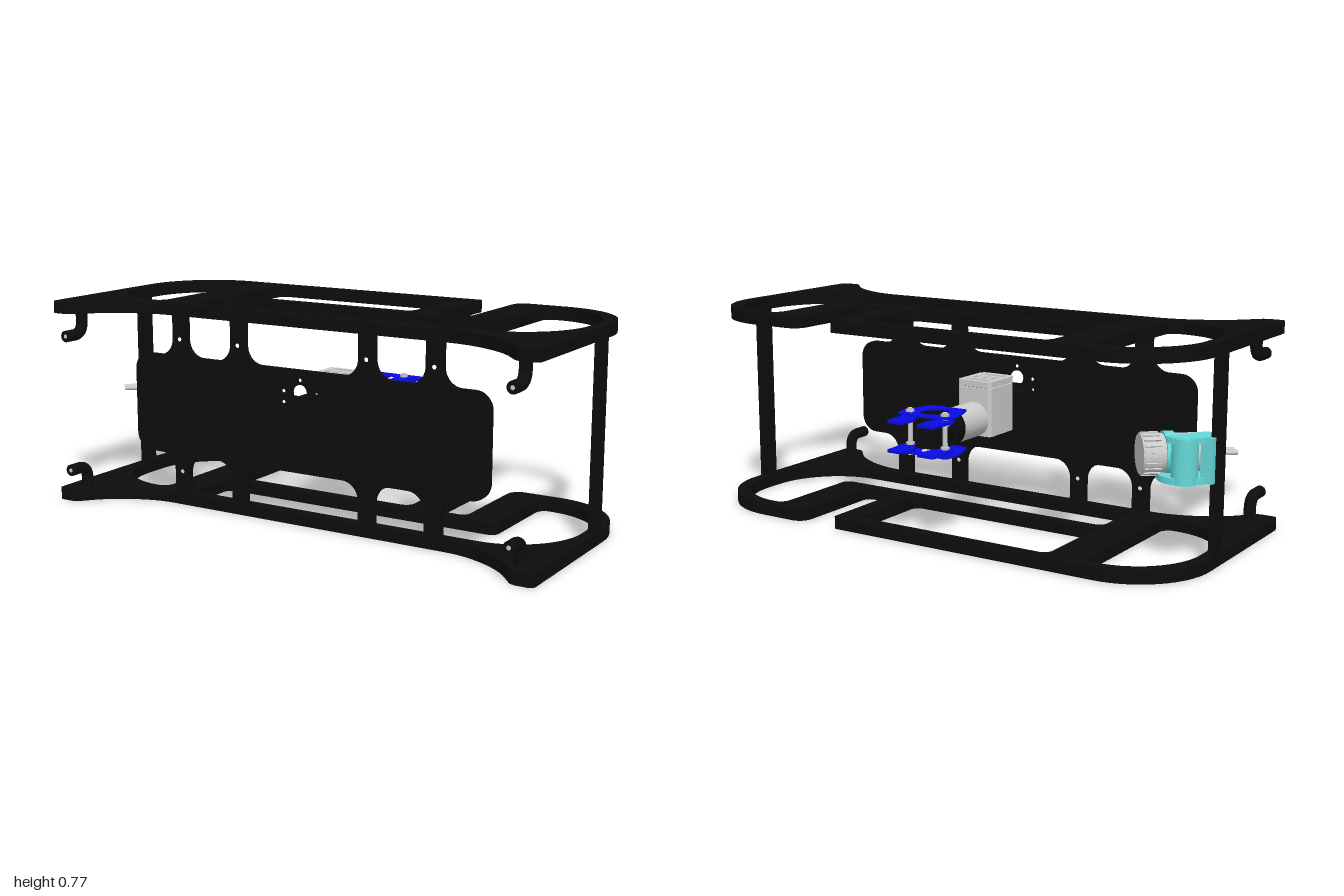
import * as THREE from 'three';

const mat = (color, side = THREE.FrontSide) => new THREE.MeshStandardMaterial({ color, side });
const BLACK = mat(0x0d0d0d), GREY = mat(0xcccccc), BLUE = mat(0x0a0ae6), TEAL = mat(0x66d9d9);

function add(parent, name, geometry, material) {
  const m = new THREE.Mesh(geometry, material);
  m.name = name;
  parent.add(m);
  return m;
}

// Closed outline from [x, y, cornerRadius] points
function rounded(points, path = new THREE.Shape()) {
  const n = points.length, k = 0.448;
  points.forEach(([x, y, r = 0], i) => {
    const p = new THREE.Vector2(x, y);
    const end = (q) => new THREE.Vector2(q[0], q[1]).sub(p).normalize();
    const a = end(points[(i + n - 1) % n]), b = end(points[(i + 1) % n]);
    const at = (d, s) => p.clone().addScaledVector(d, s);
    const s = at(a, r), e = at(b, r);
    if (i === 0) path.moveTo(s.x, s.y); else path.lineTo(s.x, s.y);
    if (r > 0) {
      const c1 = at(a, r * k), c2 = at(b, r * k);
      path.bezierCurveTo(c1.x, c1.y, c2.x, c2.y, e.x, e.y);
    }
  });
  path.closePath();
  return path;
}
const hole = (points) => rounded(points, new THREE.Path());
const rectHole = (x0, y0, x1, y1, r) => hole([[x0, y0, r], [x1, y0, r], [x1, y1, r], [x0, y1, r]]);
const roundHole = (x, y, r) => new THREE.Path().absarc(x, y, r, 0, Math.PI * 2, true);
const extrude = (shape, depth) => new THREE.ExtrudeGeometry(shape, { depth, bevelEnabled: false, curveSegments: 14 });
// Horizontal plate drawn in (x, z), with its upper face at yTop
const plate = (shape, depth, yTop) => extrude(shape, depth).rotateX(Math.PI / 2).translate(0, yTop, 0);
const box = (x0, x1, y0, y1, z0, z1) => new THREE.BoxGeometry(x1 - x0, y1 - y0, z1 - z0)
  .translate((x0 + x1) / 2, (y0 + y1) / 2, (z0 + z1) / 2);
const zCyl = (r, z0, z1, x = 0, y = 0, seg = 32) => new THREE.CylinderGeometry(r, r, z1 - z0, seg)
  .rotateX(Math.PI / 2).translate(x, y, (z0 + z1) / 2);
const yCyl = (r, y0, y1, x, z, seg = 24) => new THREE.CylinderGeometry(r, r, y1 - y0, seg)
  .translate(x, (y0 + y1) / 2, z);

// Skid outline with a back slot, windows and bolt slots
function skidShape() {
  const s = rounded([
    [-1, 0.447, 0.02], [-1, -0.437, 0.29], [0.37, -0.437, 0.015], [0.37, -0.04, 0.03],
    [0.515, -0.04, 0.03], [0.515, -0.437, 0.05], [1, -0.437, 0.29], [1, 0.447, 0.02],
    [0.92, 0.447, 0.02], [0.76, 0.26, 0.17], [-0.76, 0.26, 0.17], [-0.92, 0.447, 0.02],
  ]);
  s.holes.push(
    hole([[-0.955, -0.39, 0.26], [-0.655, -0.39, 0.04], [-0.655, 0.215, 0.04], [-0.955, 0.215, 0.25]]),
    rectHole(-0.515, -0.39, 0.28, -0.042, 0.035),
    hole([[-0.515, 0, 0.035], [0.65, 0, 0.03], [0.65, -0.39, 0.04], [0.955, -0.39, 0.26],
      [0.955, 0.215, 0.27], [-0.515, 0.215, 0.035]]),
  );
  for (const x of [-0.47, -0.335, -0.2, -0.07, 0.07, 0.2, 0.325])
    s.holes.push(rectHole(x - 0.03, -0.422, x + 0.03, -0.406, 0.006));
  return s;
}

// Front panel: central board with four legs above and four below
function panelShape() {
  const top = [[-0.75, 0.575, 0.065]];
  for (const x of [-0.5375, -0.2725, 0.2725, 0.5375])
    top.push([x - 0.033, 0.575, 0.065], [x - 0.033, 0.73], [x + 0.033, 0.73], [x + 0.033, 0.575, 0.065]);
  top.push([0.75, 0.575, 0.065]);
  const bottom = top.map(([x, y, r]) => [x, 0.772 - y, r]).reverse();
  const s = rounded([...top, ...bottom]);
  s.holes.push(roundHole(0, 0.495, 0.028));
  for (const [x, y] of [[-0.07, 0.455], [0, 0.455], [0.07, 0.455], [0, 0.54], [-0.07, 0.495], [0.07, 0.495]])
    s.holes.push(roundHole(x, y, 0.006));
  for (const x of [-0.5375, -0.2725, 0.2725, 0.5375])
    for (const y of [0.132, 0.64]) s.holes.push(roundHole(x, y, 0.008));
  return s;
}

function buildFrame() {
  const g = new THREE.Group();
  g.name = 'frame';
  const skid = skidShape();
  add(g, 'bottomSkid', plate(skid, 0.045, 0.045), BLACK);
  add(g, 'topSkid', plate(skid, 0.045, 0.772), BLACK);
  add(g, 'frontPanel', extrude(panelShape(), 0.021).translate(0, 0, 0.243), BLACK);
  for (const s of [-1, 1]) {
    add(g, 'sidePost', box(s * 0.989 - 0.011, s * 0.989 + 0.011, 0.02, 0.75, -0.12, -0.05), BLACK);
    // Bent hooks under the top skid and over the bottom one
    for (const up of [false, true]) {
      const y = (v) => (up ? 0.772 - v : v);
      const path = new THREE.CurvePath();
      const p = (v, z) => new THREE.Vector3(s * 0.92, y(v), z);
      path.add(new THREE.LineCurve3(p(0.735, 0.372), p(0.695, 0.372)));
      path.add(new THREE.QuadraticBezierCurve3(p(0.695, 0.372), p(0.645, 0.372), p(0.645, 0.418)));
      path.add(new THREE.LineCurve3(p(0.645, 0.418), p(0.645, 0.465)));
      add(g, 'hook', new THREE.TubeGeometry(path, 30, 0.022, 16), BLACK);
      add(g, 'hookEnd', zCyl(0.022, 0.455, 0.465, s * 0.92, y(0.645), 16), BLACK);
      add(g, 'hookScrew', zCyl(0.008, 0.46, 0.466, s * 0.92, y(0.645), 12), GREY);
    }
  }
  return g;
}

function buildGripper() {
  const g = new THREE.Group();
  g.name = 'gripper';
  const cy = 0.387;
  // Mount clamped to the front panel
  for (const s of [-1, 1]) {
    const y = cy + s * 0.055;
    add(g, 'mountFlange', box(-0.07, 0.07, y - 0.032, y + 0.032, 0.23, 0.244), BLACK);
    add(g, 'mountArm', box(-0.06, 0.06, y - 0.022, y + 0.018, 0.15, 0.235), BLACK);
  }
  add(g, 'mountBlock', box(-0.065, 0.065, 0.317, 0.46, 0.115, 0.195), BLACK);

  // Housing with a slotted lid
  const outline = [[-0.073, -0.06, 0.015], [0.073, -0.06, 0.015], [0.073, 0.112, 0.025], [-0.073, 0.112, 0.025]];
  add(g, 'housing', plate(rounded(outline), 0.18, 0.505), GREY);
  const lid = rounded(outline);
  for (const z of [-0.03, 0.075]) lid.holes.push(rectHole(-0.05, z - 0.012, 0.05, z + 0.012, 0.011));
  for (const x of [-0.038, 0, 0.038]) lid.holes.push(rectHole(x - 0.011, 0, x + 0.011, 0.045, 0.01));
  add(g, 'housingLid', plate(lid, 0.022, 0.53), GREY);
  add(g, 'lidRecess', box(-0.06, 0.06, 0.5, 0.508, -0.05, 0.1), BLACK);

  add(g, 'motor', zCyl(0.065, -0.217, -0.05, 0, cy), GREY);
  add(g, 'gearCollar', zCyl(0.068, -0.25, -0.215, 0, cy), BLACK);
  add(g, 'gearHead', zCyl(0.05, -0.315, -0.25, 0, cy), BLACK);
  add(g, 'driveShaft', zCyl(0.018, -0.345, -0.31, 0, cy, 16), BLACK);
  add(g, 'crossBlock', box(-0.045, 0.045, 0.335, 0.437, -0.37, -0.338), BLACK);

  // Side plates, paired jaws and pivot pins
  const side = rounded([[-0.075, -0.217, 0.006], [-0.115, -0.33, 0.02], [-0.105, -0.395, 0.015],
    [0.105, -0.395, 0.015], [0.115, -0.33, 0.02], [0.075, -0.217, 0.006]]);
  side.holes.push(roundHole(0, -0.31, 0.052));
  for (const s of [-1, 1]) side.holes.push(roundHole(s * 0.05, -0.24, 0.007));
  for (const yTop of [0.459, 0.321]) add(g, 'sidePlate', plate(side, 0.006, yTop), BLUE);
  for (const s of [-1, 1]) {
    const jaw = rounded([[s * 0.055, -0.325, 0.008], [s * 0.108, -0.335, 0.015], [s * 0.1, -0.42, 0.01],
      [s * 0.1, -0.465, 0.01], [s * 0.03, -0.465, 0.006], [s * 0.03, -0.4, 0.006]]);
    for (const yTop of [0.444, 0.339]) add(g, 'jaw', plate(jaw, 0.01, yTop), BLUE);
    add(g, 'pivotPin', yCyl(0.009, 0.302, 0.473, s * 0.075, -0.355, 12), GREY);
    for (const y of [0.308, 0.424, 0.34, 0.459])
      add(g, 'pinNut', yCyl(0.016, y, y + 0.009, s * 0.075, -0.355, 6), GREY);
  }
  return g;
}

function buildLamp() {
  const g = new THREE.Group();
  g.name = 'sideLamp';
  // Barrel, built along local z and turned inward
  const barrel = new THREE.Group();
  barrel.name = 'lampBarrel';
  barrel.position.set(-0.765, 0.374, -0.145);
  barrel.rotation.y = Math.atan2(0.76, -0.65);
  const profile = [[0, -0.245], [0.045, -0.245], [0.062, -0.225], [0.068, -0.19], [0.068, 0], [0, 0]]
    .map(([r, z]) => new THREE.Vector2(r, z));
  add(barrel, 'lampBody', new THREE.LatheGeometry(profile, 32).rotateX(Math.PI / 2), GREY);
  add(barrel, 'lampHead', zCyl(0.07, -0.035, 0.035), GREY);
  for (let i = 0; i < 20; i++)
    add(barrel, 'gripRib', box(0.066, 0.075, -0.006, 0.006, -0.028, 0.03).rotateZ(i * Math.PI / 10), GREY);
  add(barrel, 'clampRing', zCyl(0.076, -0.08, -0.045), TEAL);
  for (const x of [-0.02, 0.02]) add(barrel, 'terminal', zCyl(0.009, -0.3, -0.24, x, 0, 10), GREY);
  g.add(barrel);

  // Bracket tying the barrel to the side post
  const upper = rounded([[-0.98, -0.05, 0.01], [-0.975, -0.14, 0.03], [-0.91, -0.215, 0.04],
    [-0.84, -0.195, 0.02], [-0.88, -0.13, 0.02], [-0.93, -0.06, 0.01]]);
  const lower = rounded([[-0.98, -0.045, 0.01], [-0.975, -0.14, 0.03], [-0.91, -0.215, 0.04],
    [-0.83, -0.2, 0.03], [-0.745, -0.085, 0.02], [-0.79, -0.045, 0.02]]);
  add(g, 'bracketTop', plate(upper, 0.022, 0.455), TEAL);
  add(g, 'bracketBase', plate(lower, 0.022, 0.317), TEAL);
  add(g, 'bracketBarrel', yCyl(0.045, 0.295, 0.452, -0.905, -0.165), TEAL);
  add(g, 'bracketWall', box(-0.995, -0.95, 0.297, 0.453, -0.14, -0.045), TEAL);
  return g;
}

export function createModel() {
  const model = new THREE.Group();
  model.name = 'underwaterFrame';
  model.add(buildFrame(), buildGripper(), buildLamp());
  return model;
}
